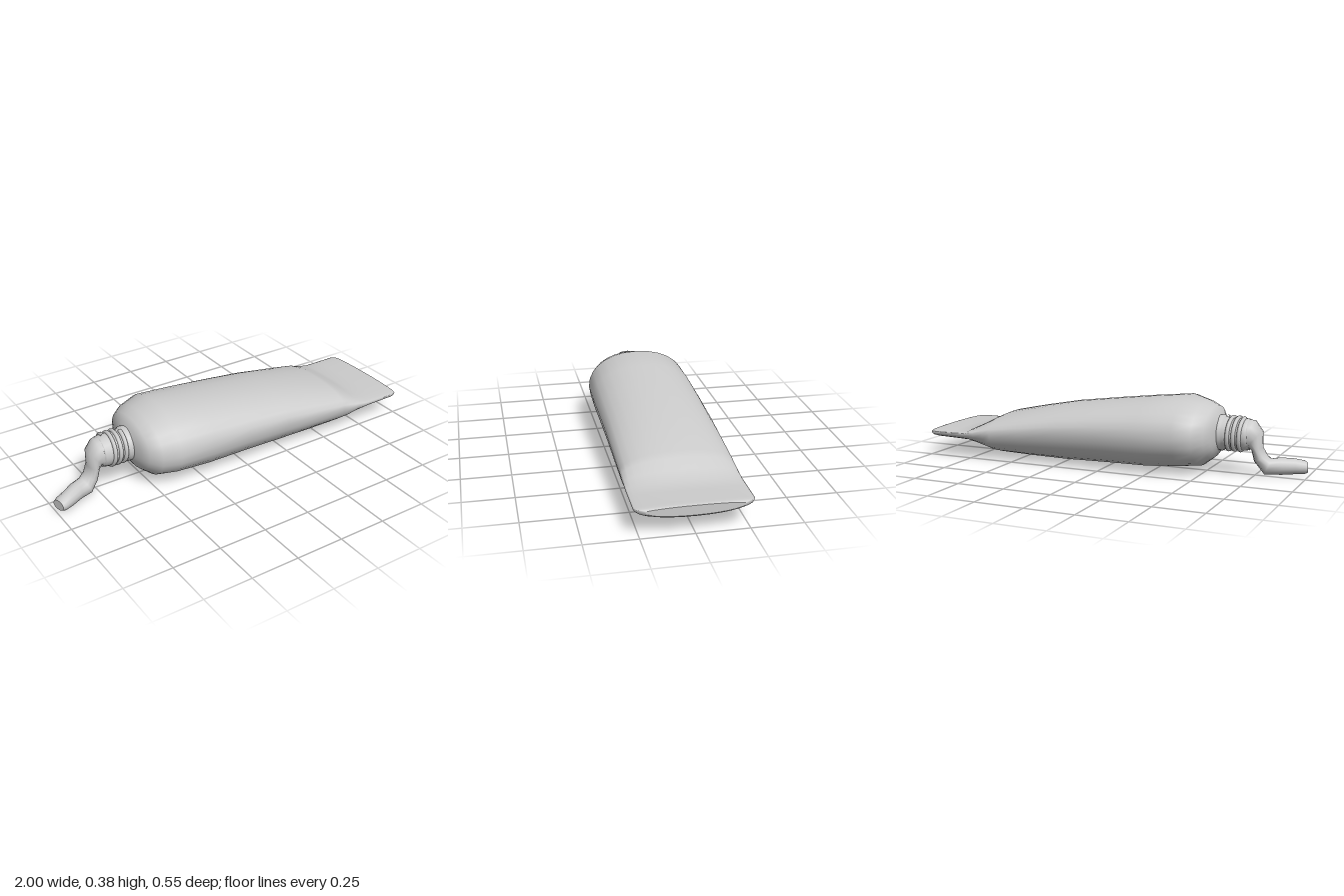
import * as THREE from 'three';

const material = new THREE.MeshStandardMaterial({ color: 0xcccccc });

// Skins a list of rings (arrays of Vector3, turning about the direction of travel) and caps both ends.
function loft(rings) {
  const n = rings[0].length;
  const positions = [];
  const index = [];
  rings.forEach(ring => ring.forEach(p => positions.push(p.x, p.y, p.z)));
  for (let i = 0; i < rings.length - 1; i++) {
    for (let j = 0; j < n; j++) {
      const a = i * n + j, b = i * n + (j + 1) % n;
      index.push(a, b, a + n, b, b + n, a + n);
    }
  }
  [rings[0], rings[rings.length - 1]].forEach((ring, end) => {
    const base = positions.length / 3;
    const centre = new THREE.Vector3();
    ring.forEach(p => { positions.push(p.x, p.y, p.z); centre.addScaledVector(p, 1 / n); });
    positions.push(centre.x, centre.y, centre.z);
    for (let j = 0; j < n; j++) {
      const a = base + j, b = base + (j + 1) % n;
      if (end) index.push(base + n, a, b);
      else index.push(base + n, b, a);
    }
  });
  const geometry = new THREE.BufferGeometry();
  geometry.setAttribute('position', new THREE.Float32BufferAttribute(positions, 3));
  geometry.setIndex(index);
  geometry.computeVertexNormals();
  return geometry;
}

function add(group, name, geometry) {
  const mesh = new THREE.Mesh(geometry, material);
  mesh.name = name;
  group.add(mesh);
  return mesh;
}

// Squeezed tube: x, bottom, top, height of the widest line, half width
function tubeBody() {
  const stations = [
    [-0.57, 0.125, 0.285, 0.205, 0.10],
    [-0.56, 0.105, 0.305, 0.205, 0.145],
    [-0.54, 0.075, 0.338, 0.205, 0.195],
    [-0.49, 0.036, 0.36, 0.2, 0.24],
    [-0.40, 0.027, 0.388, 0.2, 0.27],
    [-0.21, 0.01, 0.368, 0.2, 0.275],
    [0.00, 0.008, 0.342, 0.197, 0.275],
    [0.24, 0.004, 0.31, 0.185, 0.274],
    [0.45, 0.009, 0.27, 0.165, 0.274],
    [0.62, 0.016, 0.233, 0.15, 0.274],
    [0.66, 0.024, 0.215, 0.146, 0.274],
    [0.72, 0.052, 0.182, 0.14, 0.274],
    [0.78, 0.076, 0.152, 0.135, 0.274],
    [0.86, 0.08, 0.148, 0.135, 0.274],
    [0.965, 0.084, 0.147, 0.135, 0.274],
    [0.985, 0.085, 0.147, 0.135, 0.265],
    [0.995, 0.088, 0.145, 0.135, 0.245],
    [1.0, 0.095, 0.142, 0.13, 0.225],
  ];
  const sides = 28;
  const soften = v => Math.sign(v) * Math.pow(Math.abs(v), 0.94);
  return loft(stations.map(([x, bottom, top, mid, half]) =>
    Array.from({ length: sides }, (_, j) => {
      const t = (j / sides) * Math.PI * 2;
      const c = soften(Math.cos(t)), s = soften(Math.sin(t));
      return new THREE.Vector3(x, mid + c * (c > 0 ? top - mid : mid - bottom), s * half);
    })));
}

// Paste: centre x, y, z, downward pitch, half thickness, half width, yaw
function pasteStrand() {
  const stations = [
    [-0.70, 0.205, 0.005, 0, 0.078, 0.078, 0],
    [-0.73, 0.203, 0.005, 0.15, 0.078, 0.073, 0],
    [-0.748, 0.185, 0.003, 0.7, 0.055, 0.062, 0],
    [-0.757, 0.14, 0.005, 1.4, 0.027, 0.055, 0],
    [-0.775, 0.09, 0.01, 1.1, 0.035, 0.05, 0],
    [-0.81, 0.05, 0.018, 0.4, 0.045, 0.048, 0.15],
    [-0.87, 0.052, 0.042, 0, 0.044, 0.043, 0.35],
    [-0.93, 0.05, 0.075, 0, 0.04, 0.04, 0.35],
    [-0.975, 0.046, 0.092, 0, 0.034, 0.04, 0.3],
    [-0.99, 0.045, 0.095, 0, 0.026, 0.034, 0.3],
  ];
  const sides = 14;
  return loft(stations.map(([x, y, z, pitch, thick, width, yaw]) =>
    Array.from({ length: sides }, (_, j) => {
      const t = (j / sides) * Math.PI * 2;
      const u = Math.cos(t) * thick, v = -Math.sin(t) * width;
      return new THREE.Vector3(x - u * Math.sin(pitch) + v * yaw, y + u * Math.cos(pitch), z + v);
    })));
}

export function createModel() {
  const group = new THREE.Group();
  group.name = 'squeezedTube';
  add(group, 'tubeBody', tubeBody());
  add(group, 'pasteStrand', pasteStrand());

  // Nozzle turned about the x axis, with a screw thread wound round it
  const nozzle = new THREE.Group();
  nozzle.name = 'nozzle';
  nozzle.position.set(0, 0.205, 0.005);
  group.add(nozzle);
  const profile = [[0.09, 0.55], [0.09, 0.585], [0.081, 0.592], [0.081, 0.695], [0.078, 0.715], [0.07, 0.724], [0, 0.724]];
  const neck = new THREE.LatheGeometry(profile.map(p => new THREE.Vector2(...p)), 24);
  neck.rotateZ(Math.PI / 2);
  add(nozzle, 'neck', neck);

  const turns = 3;
  const helix = Array.from({ length: turns * 16 + 1 }, (_, i) => {
    const a = (i / 16) * Math.PI * 2;
    return new THREE.Vector3(-0.6 - 0.03 * (i / 16), Math.cos(a) * 0.081, Math.sin(a) * 0.081);
  });
  add(nozzle, 'screwThread', new THREE.TubeGeometry(new THREE.CatmullRomCurve3(helix), turns * 24, 0.011, 8, false));
  return group;
}
